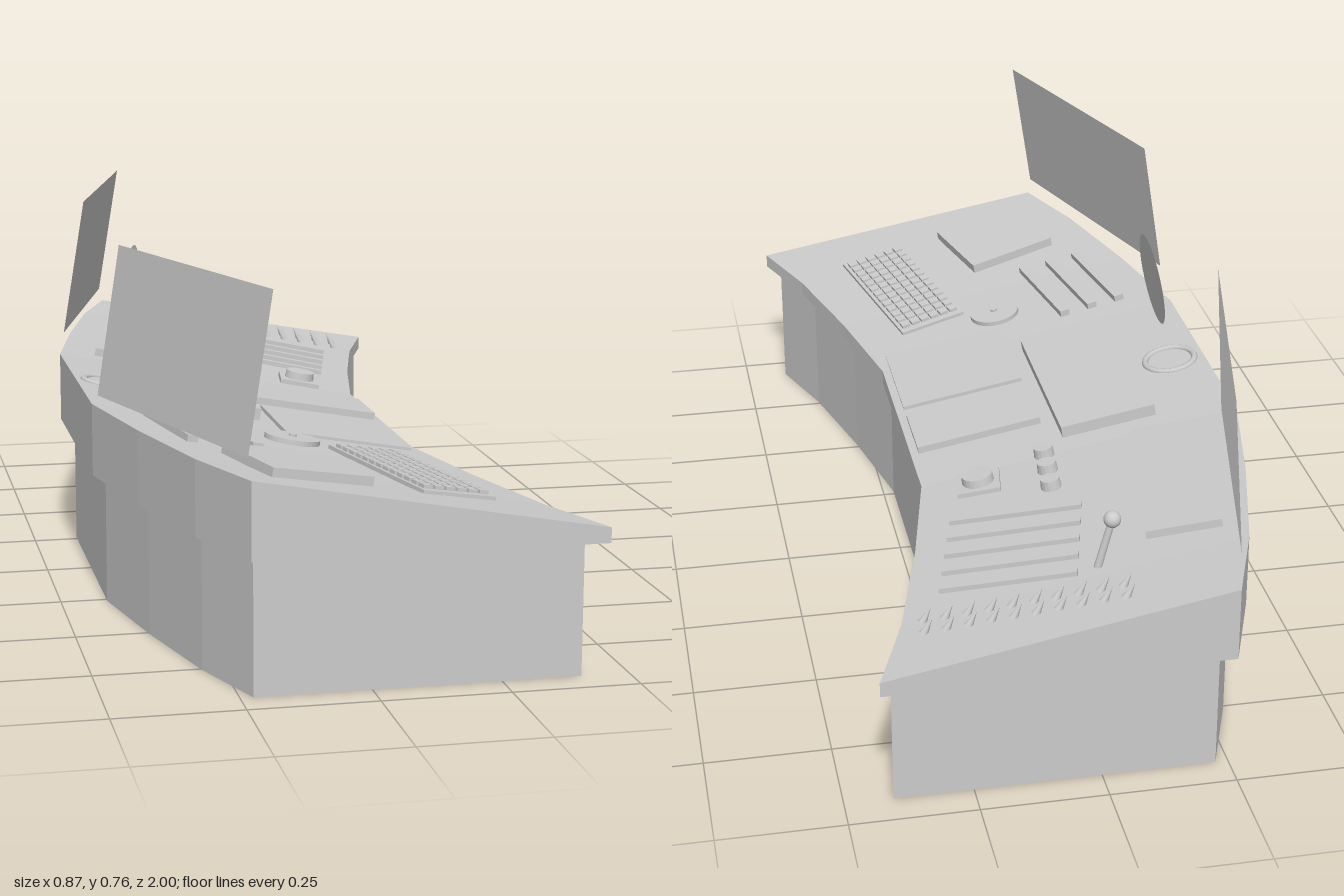
import * as THREE from 'three';

const material = new THREE.MeshStandardMaterial({ color: 0xcccccc, flatShading: true });
const smooth = new THREE.MeshStandardMaterial({ color: 0xcccccc });
const thin = new THREE.MeshStandardMaterial({ color: 0xcccccc, side: THREE.DoubleSide });

// Plan of the curved desk: stations [z, x of the back edge]
const DEPTH = 0.675, BACK_Y = 0.425, FRONT_Y = 0.305, LIP_Y = 0.275;
const half = [[0.28, -0.433], [0.545, -0.378], [0.81, -0.31], [1, -0.241]];
const stations = [...half.map(([z, x]) => [-z, x]).reverse(), ...half];
const SLOPE = (BACK_Y - FRONT_Y) / DEPTH;

function backX(z) {
  for (let i = 1; i < stations.length; i++) {
    const [z0, x0] = stations[i - 1], [z1, x1] = stations[i];
    if (z <= z1) return x0 + (x1 - x0) * (z - z0) / (z1 - z0);
  }
  return stations[stations.length - 1][1];
}
const deskY = (x, z) => BACK_Y - SLOPE * (x - backX(z));

// Closed body lofted through the stations
function loft(scale, bottom, topBack, topFront) {
  const pos = [];
  const rings = stations.map(([z, x]) => {
    const b = x * scale, f = (x + DEPTH) * scale;
    return [[b, bottom], [f, bottom], [f, topFront], [b, topBack]].map(([px, py]) => [px, py, z * scale]);
  });
  const quad = (a, b, c, d) => pos.push(...a, ...b, ...c, ...a, ...c, ...d);
  for (let s = 1; s < rings.length; s++) {
    for (let i = 0; i < 4; i++) {
      const j = (i + 1) % 4;
      quad(rings[s - 1][i], rings[s - 1][j], rings[s][j], rings[s][i]);
    }
  }
  quad(...[...rings[0]].reverse());
  quad(...rings[rings.length - 1]);
  const g = new THREE.BufferGeometry();
  g.setAttribute('position', new THREE.Float32BufferAttribute(pos, 3));
  g.computeVertexNormals();
  return g;
}

export function createModel() {
  const model = new THREE.Group();
  model.name = 'controlConsole';

  const add = (name, geometry, mat = material, parent = model) => {
    const mesh = new THREE.Mesh(geometry, mat);
    mesh.name = name;
    parent.add(mesh);
    return mesh;
  };

  // Group lying on the sloped desk, its y axis along the desk normal
  const onDesk = (name, x, z, turn = 0) => {
    const g = new THREE.Group();
    g.name = name;
    const e = 0.01;
    const dz = (deskY(x, z + e) - deskY(x, z - e)) / (2 * e);
    const normal = new THREE.Vector3(SLOPE, 1, -dz).normalize();
    g.position.set(x, deskY(x, z), z);
    g.quaternion.setFromUnitVectors(new THREE.Vector3(0, 1, 0), normal);
    g.rotateY(turn);
    model.add(g);
    return g;
  };
  const plate = (name, x, z, w, h, l, turn = 0) => {
    const g = onDesk(name, x, z, turn);
    add(name + 'Plate', new THREE.BoxGeometry(w, h + 0.006, l), material, g).position.y = h / 2 - 0.003;
    return g;
  };

  // Desk and plinth
  add('desk', loft(1, LIP_Y, BACK_Y, FRONT_Y));
  add('plinth', loft(0.934, 0, LIP_Y, LIP_Y));

  // Floating side screens: centre, length, heading
  const LEAN = Math.atan2(0.049, 0.3);
  const screen = (name, a, b) => {
    const rise = [0.048, 0.3];
    const dz = a[1] > 0 ? -0.011 : 0.012;
    const top = ([x, z]) => [x + rise[0], 0.465 + rise[1], z + dz];
    const g = new THREE.BufferGeometry();
    const pa = [a[0], 0.465, a[1]], pb = [b[0], 0.465, b[1]];
    g.setAttribute('position', new THREE.Float32BufferAttribute(
      [...pa, ...pb, ...top(b), ...pa, ...top(b), ...top(a)], 3));
    g.computeVertexNormals();
    add(name, g, thin);
  };
  screen('leftScreen', [-0.245, 0.99], [-0.435, 0.39]);
  screen('rightScreen', [-0.418, -0.329], [-0.257, -0.938]);

  // Round centre screen
  const disc = add('roundScreen', new THREE.CircleGeometry(0.1, 32), thin);
  disc.position.set(-0.315, 0.61, 0);
  disc.rotation.set(0, Math.PI / 2, 0);
  disc.rotateX(LEAN);

  // Raised display panels
  plate('centreDisplay', -0.172, -0.005, 0.205, 0.025, 0.44);
  plate('middlePadRight', 0.092, -0.06, 0.27, 0.015, 0.16);
  plate('middlePadLeft', 0.092, 0.205, 0.27, 0.008, 0.27);
  plate('rightDisplay', -0.24, -0.52, 0.15, 0.018, 0.44, -0.17);
  plate('leftDisplay', -0.113, 0.782, 0.21, 0.02, 0.23, 0.23);

  // Ring at the back and dial on the left
  const ring = add('ring', new THREE.TorusGeometry(0.055, 0.007, 8, 32), smooth, onDesk('backRing', -0.36, 0));
  ring.rotation.x = Math.PI / 2;
  const dial = onDesk('dial', -0.045, 0.42, 0.2);
  add('dialDisc', new THREE.CylinderGeometry(0.057, 0.057, 0.012, 32), material, dial).position.y = 0.004;
  add('dialHub', new THREE.CylinderGeometry(0.008, 0.008, 0.012, 12), material, dial).position.y = 0.009;

  // Slider bars
  for (let i = 0; i < 3; i++) plate('leftSlider', -0.303 + i * 0.065, 0.472 - i * 0.005, 0.022, 0.014, 0.27, 0.17);
  for (let i = 0; i < 5; i++) plate('rightSlider', 0.085 + i * 0.016, -0.5 - i * 0.064, 0.27, 0.01, 0.016, -0.25);

  // Keyboard
  const keyboard = plate('keyboard', 0.14, 0.65, 0.155, 0.008, 0.43, 0.2);
  const key = new THREE.BoxGeometry(0.019, 0.008, 0.023);
  for (let r = 0; r < 6; r++) {
    for (let c = 0; c < 13; c++) {
      add('key', key, material, keyboard).position.set((r - 2.5) * 0.024, 0.011, (c - 6) * 0.031);
    }
  }

  // Knobs
  [[-0.005, -0.42], [-0.013, -0.347], [-0.02, -0.277]].forEach(([x, z]) => {
    const k = onDesk('knob', x, z);
    add('knobBody', new THREE.CylinderGeometry(0.02, 0.022, 0.024, 16), material, k).position.y = 0.009;
  });

  // Push button on a square base
  const button = plate('button', 0.13, -0.335, 0.09, 0.01, 0.09, -0.15);
  add('buttonCap', new THREE.CylinderGeometry(0.032, 0.034, 0.02, 24), material, button).position.y = 0.017;

  // Lever with ball grip
  const foot = new THREE.Vector3(-0.02, 0.37, -0.78), grip = new THREE.Vector3(-0.047, 0.473, -0.78);
  const axis = grip.clone().sub(foot);
  const stick = add('leverStick', new THREE.CylinderGeometry(0.007, 0.008, axis.length(), 12), smooth);
  stick.position.copy(foot).addScaledVector(axis, 0.5);
  stick.quaternion.setFromUnitVectors(new THREE.Vector3(0, 1, 0), axis.normalize());
  add('leverGrip', new THREE.SphereGeometry(0.017, 20, 14), smooth).position.copy(grip);

  // Two rows of toggle switches leaning towards the back
  const toggle = new THREE.ConeGeometry(0.009, 0.036, 10);
  toggle.translate(0, 0.016, 0);
  for (let row = 0; row < 2; row++) {
    for (let i = 0; i < 10; i++) {
      const x = -0.043 + i * 0.0415 - row * 0.004, z = -0.92 + row * 0.042 + i * 0.0065;
      const t = add('toggleSwitch', toggle, smooth);
      t.position.set(x, deskY(x, z), z);
      t.rotation.z = 0.5;
    }
  }
  return model;
}
